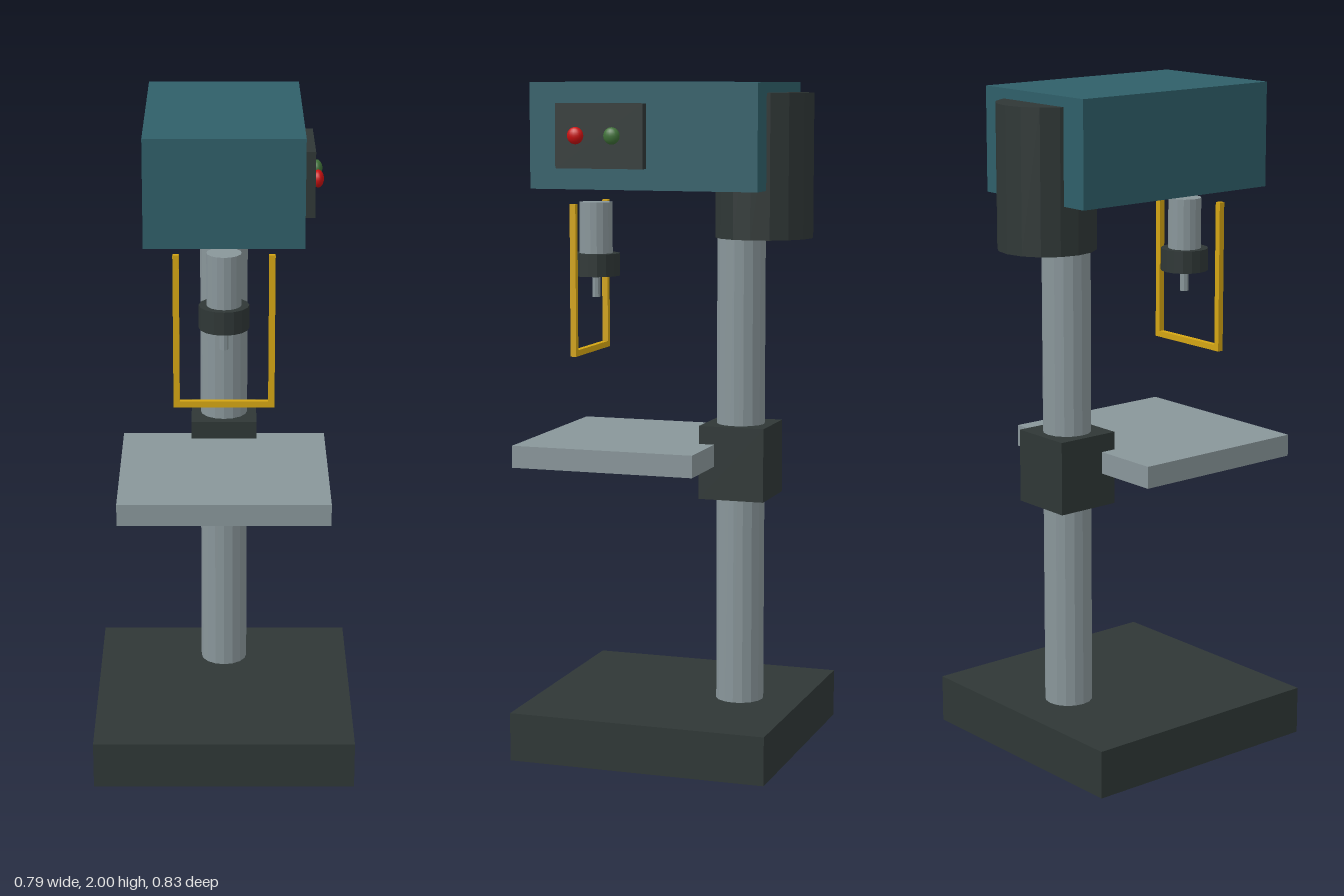
import * as THREE from 'three';

const material = (name, color) => {
  const m = new THREE.MeshStandardMaterial({ color });
  m.name = name;
  return m;
};

export function createModel() {
  const model = new THREE.Group();
  model.name = 'drillPress';

  const teal = material('tealPaint', 0x2f5f69);
  const iron = material('darkIron', 0x2f3736);
  const steel = material('steel', 0x89969a);
  const yellow = material('guardYellow', 0xd4a513);
  const red = material('stopRed', 0xc81010);
  const green = material('startGreen', 0x3f7038);

  const add = (name, geometry, mat, x, y, z) => {
    const mesh = new THREE.Mesh(geometry, mat);
    mesh.name = name;
    mesh.position.set(x, y, z);
    model.add(mesh);
    return mesh;
  };

  // Box from its limits on each axis
  const box = (name, mat, [x0, x1], [y0, y1], [z0, z1]) =>
    add(name, new THREE.BoxGeometry(x1 - x0, y1 - y0, z1 - z0), mat,
      (x0 + x1) / 2, (y0 + y1) / 2, (z0 + z1) / 2);

  // Upright faceted cylinder between two heights
  const cylinder = (name, mat, r, [y0, y1], z, sides = 16) =>
    add(name, new THREE.CylinderGeometry(r, r, y1 - y0, sides).toNonIndexed(), mat,
      0, (y0 + y1) / 2, z).geometry.computeVertexNormals();

  // Stand
  box('base', iron, [-0.393, 0.393], [0, 0.145], [-0.393, 0.393]);
  cylinder('column', steel, 0.072, [0.14, 1.75], -0.2);

  // Work table and the collar that clamps it to the column
  box('tableCollar', iron, [-0.1, 0.1], [0.77, 0.99], [-0.3, -0.1]);
  box('table', steel, [-0.309, 0.309], [0.87, 0.936], [-0.148, 0.413]);

  // Head and motor
  box('head', teal, [-0.224, 0.224], [1.69, 2], [-0.315, 0.381]);
  cylinder('motor', iron, 0.145, [1.547, 1.97], -0.27);

  // Control panel with two buttons on the model's left side
  box('controlPanel', iron, [0.224, 0.254], [1.752, 1.94], [0.021, 0.29]);
  for (const [name, mat, z] of [['stopButton', red, 0.224], ['startButton', green, 0.112]]) {
    add(name, new THREE.SphereGeometry(0.025, 16, 12), mat, 0.263, 1.847, z).scale.x = 0.66;
  }

  // Spindle
  cylinder('quill', steel, 0.05, [1.48, 1.642], 0.26);
  cylinder('chuck', iron, 0.072, [1.42, 1.488], 0.26);
  cylinder('drillBit', steel, 0.013, [1.355, 1.43], 0.26, 8);

  // U-shaped safety guard
  for (const side of [-1, 1]) {
    const x = side * 0.136;
    box('guardPost', yellow, [x - 0.009, x + 0.009], [1.187, 1.642], [0.271, 0.289]);
  }
  box('guardBar', yellow, [-0.127, 0.127], [1.187, 1.205], [0.271, 0.289]);

  return model;
}
